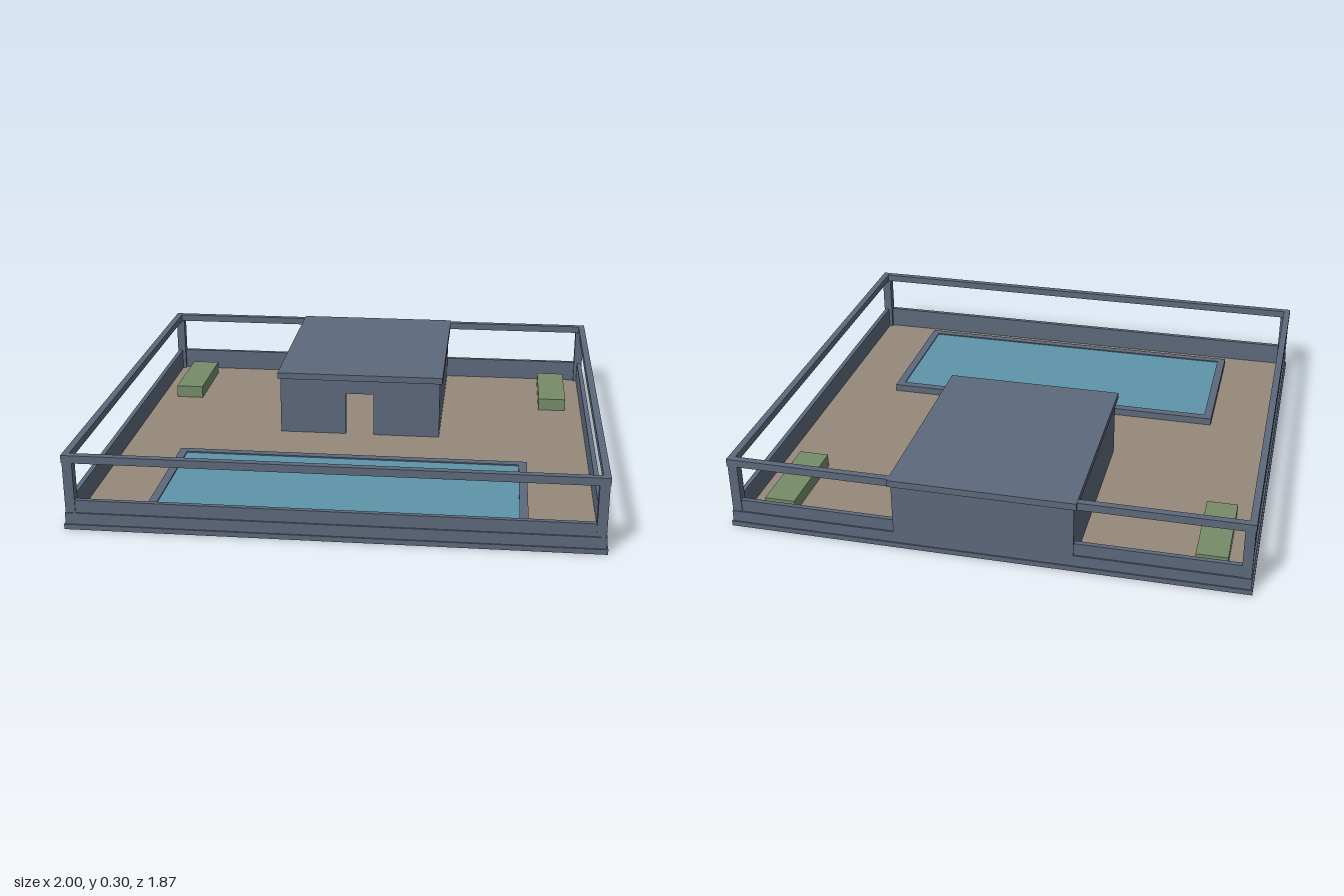
import * as THREE from 'three';

export function createModel() {
  const model = new THREE.Group();
  model.name = 'poolCourtyard';

  const mat = (name, color) => {
    const m = new THREE.MeshStandardMaterial({ color });
    m.name = name;
    return m;
  };
  const slate = mat('slate', 0x5d697c);
  const sand = mat('sand', 0x96897a);
  const concrete = mat('concrete', 0x979799);
  const water = mat('water', 0x5f95aa);
  const hedge = mat('hedge', 0x768c6a);

  // Box given by its limits on each axis
  const box = (name, material, [x0, x1], [y0, y1], [z0, z1], parent = model) => {
    const mesh = new THREE.Mesh(new THREE.BoxGeometry(x1 - x0, y1 - y0, z1 - z0), material);
    mesh.position.set((x0 + x1) / 2, (y0 + y1) / 2, (z0 + z1) / 2);
    mesh.name = name;
    parent.add(mesh);
    return mesh;
  };
  const group = (name) => {
    const g = new THREE.Group();
    g.name = name;
    model.add(g);
    return g;
  };
  const rect = (S, x0, x1, z0, z1) => {
    const s = new S();
    s.moveTo(x0, -z0).lineTo(x0, -z1).lineTo(x1, -z1).lineTo(x1, -z0).closePath();
    return s;
  };
  // Flat horizontal plate with rectangular openings, each [x0, x1, z0, z1]
  const plate = (name, material, outline, holes, y0, y1, parent = model) => {
    const shape = rect(THREE.Shape, ...outline);
    holes.forEach((h) => shape.holes.push(rect(THREE.Path, ...h)));
    const geo = new THREE.ExtrudeGeometry(shape, { depth: y1 - y0, bevelEnabled: false });
    geo.rotateX(-Math.PI / 2);
    geo.translate(0, y0, 0);
    const mesh = new THREE.Mesh(geo, material);
    mesh.name = name;
    parent.add(mesh);
    return mesh;
  };
  // Rectangular ring around the courtyard
  const ring = (name, x, z, width, y0, y1, parent) =>
    plate(name, slate, [-x, x, -z, z], [[-x + width, x - width, -z + width, z - width]], y0, y1, parent);

  // Ground with two floor openings inside the house
  const openings = [[0.11, 0.33, -0.9, -0.7], [-0.33, -0.17, -0.9, -0.32]];
  plate('baseSlab', concrete, [-0.99, 0.99, -0.92, 0.92], openings, 0, 0.02);
  plate('ground', sand, [-0.975, 0.975, -0.91, 0.91], openings, 0.02, 0.025);

  // Low perimeter wall, top rail and corner posts
  const fence = group('fence');
  ring('baseTrim', 1, 0.93, 0.012, 0, 0.02, fence);
  ring('lowerWall', 0.995, 0.925, 0.025, 0.02, 0.065, fence);
  ring('upperWall', 0.989, 0.919, 0.019, 0.065, 0.115, fence);
  ring('topRail', 0.995, 0.925, 0.027, 0.265, 0.295, fence);
  for (const sx of [-1, 1]) {
    for (const sz of [-1, 1]) {
      const post = box('cornerPost', slate, [-0.0185, 0.0185], [0.025, 0.265], [-0.0185, 0.0185], fence);
      post.position.x = sx * 0.974;
      post.position.z = sz * 0.904;
    }
  }

  // House: hollow walls, doorway and flat roof
  const house = group('house');
  for (const s of [-1, 1]) {
    const x = s * 0.337;
    box('sideWall', slate, [x - 0.008, x + 0.008], [0.025, 0.27], [-0.91, -0.08], house);
  }
  box('backWall', slate, [-0.345, 0.345], [0.065, 0.27], [-0.926, -0.905], house);
  const front = new THREE.Shape();
  [[-0.329, 0.025], [-0.06, 0.025], [-0.06, 0.21], [0.06, 0.21], [0.06, 0.025],
    [0.329, 0.025], [0.329, 0.27], [-0.329, 0.27]]
    .forEach(([x, y], i) => (i ? front.lineTo(x, y) : front.moveTo(x, y)));
  const frontWall = new THREE.Mesh(
    new THREE.ExtrudeGeometry(front, { depth: 0.016, bevelEnabled: false }), slate);
  frontWall.position.z = -0.096;
  frontWall.name = 'frontWallWithDoorway';
  house.add(frontWall);
  box('roof', slate, [-0.356, 0.356], [0.27, 0.297], [-0.936, -0.072], house);

  // Raised pool
  const pool = group('pool');
  plate('poolRim', slate, [-0.718, 0.718, 0.23, 0.826], [[-0.685, 0.685, 0.264, 0.794]], 0.025, 0.055, pool);
  box('poolWater', water, [-0.685, 0.685], [0.025, 0.05], [0.264, 0.794], pool);

  // Planted beds in the back corners
  for (const s of [-1, 1]) {
    const bed = box('hedge', hedge, [-0.06, 0.06], [0.025, 0.078], [-0.83, -0.466]);
    bed.position.x = s * 0.84;
  }

  return model;
}
